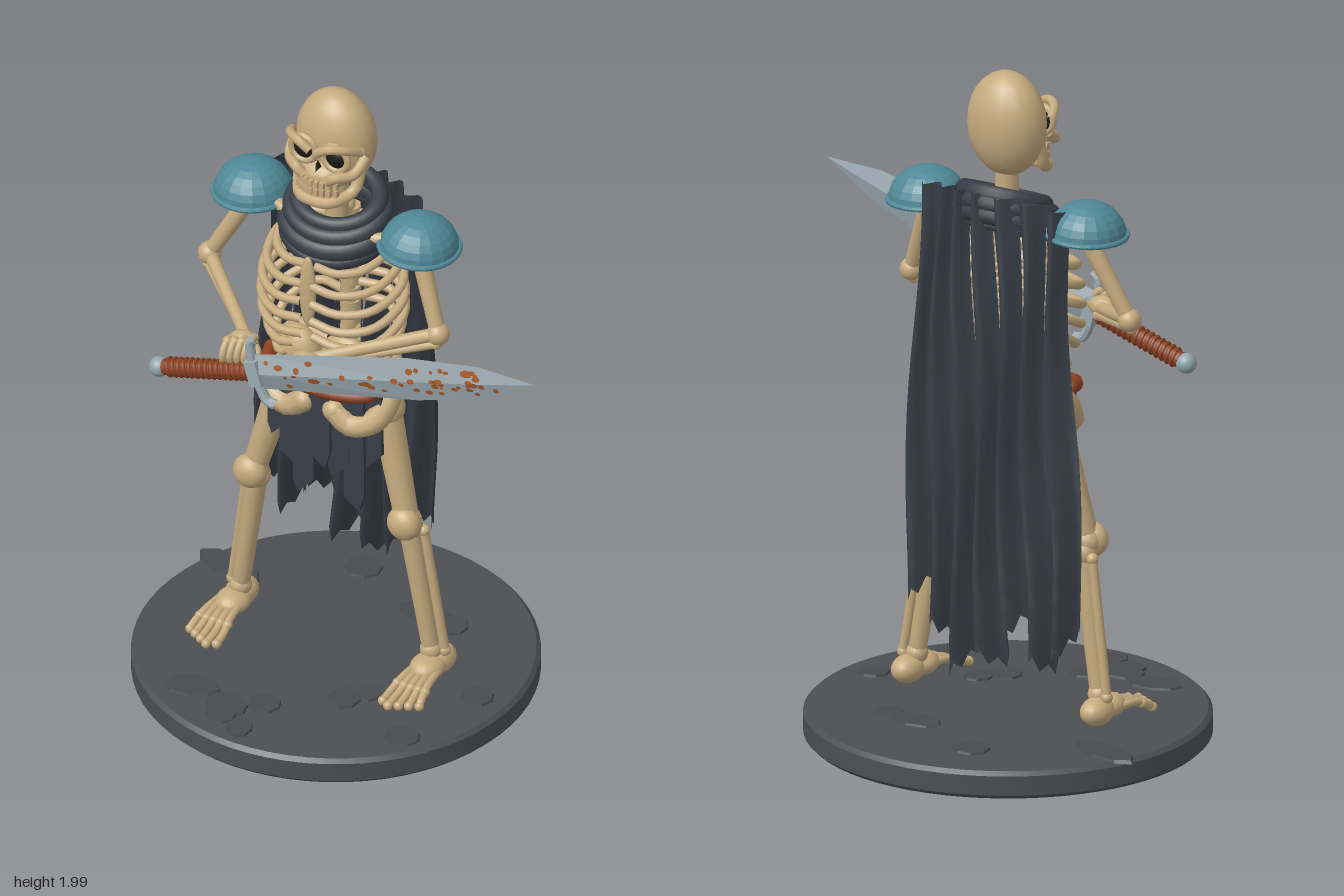
import * as THREE from 'three';
import { toCreasedNormals } from 'three/addons/utils/BufferGeometryUtils.js';

const mat = (color, opts = {}) => new THREE.MeshStandardMaterial({ color, ...opts });
const BONE = mat(0xc4aa7e), DARK = mat(0x1c1a18), STEEL = mat(0x9aa9b0, { flatShading: true });
const CLOTH = mat(0x383d46, { side: THREE.DoubleSide }), BLUE = mat(0x4f8896, { flatShading: true });
const LEATHER = mat(0x8c4122), RUST = mat(0xa3592a), STONE = mat(0x4c4f52);
const V = (x, y, z) => new THREE.Vector3(x, y, z);

export function createModel() {
  const root = new THREE.Group();
  const fig = new THREE.Group();
  fig.name = 'figure';
  fig.position.x = -0.14;
  root.add(fig);

  let seed = 7;
  const rand = () => (seed = (seed * 16807) % 2147483647) / 2147483647;

  const add = (name, geo, material, p = [0, 0, 0], parent = fig) => {
    const m = new THREE.Mesh(geo, material);
    m.name = name;
    m.position.set(...p);
    parent.add(m);
    return m;
  };
  const ball = (name, p, r, material = BONE, parent = fig) => {
    const m = add(name, new THREE.SphereGeometry(1, 20, 14), material, p, parent);
    Array.isArray(r) ? m.scale.set(...r) : m.scale.setScalar(r);
    return m;
  };
  const tube = (name, pts, r, material = BONE, parent = fig, seg = 20) =>
    add(name, new THREE.TubeGeometry(new THREE.CatmullRomCurve3(pts.map(p => V(...p))), seg, r, 8), material, [0, 0, 0], parent);
  // Shaft between two points with a knob at each end
  const bone = (name, a, b, r0, r1 = r0, knob = 1.25) => {
    const A = V(...a), B = V(...b), d = B.clone().sub(A);
    const m = add(name, new THREE.CylinderGeometry(r1, r0, d.length(), 12), BONE, A.clone().add(B).multiplyScalar(0.5).toArray());
    m.quaternion.setFromUnitVectors(V(0, 1, 0), d.normalize());
    ball(name + 'End', a, r0 * knob);
    ball(name + 'End', b, r1 * knob);
  };

  // Base disc with bevelled rims and inlaid flagstones
  const profile = [[0, 0.01], [0.57, 0.01], [0.582, 0.022], [0.582, 0.08], [0.57, 0.092], [0, 0.092]];
  add('base', toCreasedNormals(new THREE.LatheGeometry(profile.map(p => new THREE.Vector2(...p)), 64), 0.5), STONE);
  [[-0.13, -0.37, 0.06, 0.055], [0.14, -0.26, 0.09, 0.05], [0.24, -0.25, 0.045, 0.05], [-0.46, -0.18, 0.12, 0.05],
    [0.48, 0.02, 0.05, 0.05], [0.16, 0.22, 0.05, 0.055], [0.21, 0.16, 0.04, 0.05], [0.4, 0.3, 0.055, 0.05], [-0.24, 0.39, 0.085, 0.055],
    [-0.11, 0.42, 0.07, 0.055], [-0.02, 0.36, 0.05, 0.05], [-0.02, 0.5, 0.04, 0.05], [-0.1, 0.47, 0.05, 0.04]].forEach(([x, z, a, b], i) => {
    const s = add('flagstone', new THREE.CylinderGeometry(0.93, 1, 0.01, 8), mat(0x484b4e, { flatShading: true }), [x, 0.094, z]);
    s.scale.set(a, 1, b);
    s.rotation.y = (i % 3 - 1) * 0.25;
  });

  // Skull
  ball('cranium', [0, 1.845, -0.005], [0.123, 0.155, 0.095]);
  ball('upperJaw', [0, 1.765, 0.06], [0.08, 0.045, 0.06]);
  const nose = add('noseHole', new THREE.ConeGeometry(0.02, 0.04, 3), DARK, [0, 1.803, 0.1]);
  nose.scale.z = 0.7;
  tube('lowerJaw', [[-0.095, 1.79, 0.02], [-0.09, 1.72, 0.05], [-0.05, 1.7, 0.115], [0, 1.697, 0.125], [0.05, 1.7, 0.115],
    [0.09, 1.72, 0.05], [0.095, 1.79, 0.02]], 0.018);
  for (const s of [-1, 1]) {
    ball('eyeSocket', [s * 0.053, 1.84, 0.082], [0.036, 0.036, 0.022], DARK);
    add('eyeRim', new THREE.TorusGeometry(0.04, 0.011, 8, 20), BONE, [s * 0.053, 1.84, 0.09]);
    tube('brow', [[s * 0.115, 1.86, 0.05], [s * 0.09, 1.885, 0.1], [s * 0.05, 1.888, 0.125], [s * 0.012, 1.865, 0.125]], 0.014);
    tube('cheekbone', [[s * 0.118, 1.83, 0.03], [s * 0.105, 1.795, 0.08], [s * 0.065, 1.79, 0.115], [s * 0.04, 1.77, 0.115]], 0.016);
    for (let i = 0; i < 4; i++) for (const y of [1.755, 1.73]) {
      const x = 0.009 + i * 0.0175;
      add('tooth', new THREE.BoxGeometry(0.014, 0.022, 0.016), BONE, [s * x, y, 0.125 - x * x * 6]);
    }
  }

  // Spine, sternum and ribs
  add('neck', new THREE.CylinderGeometry(0.034, 0.036, 0.19, 14), BONE, [0, 1.63, -0.005]);
  for (let i = 0; i < 12; i++) {
    const y = 1.04 + i * 0.046;
    add('vertebra', new THREE.CylinderGeometry(0.03, 0.03, 0.034, 10), BONE, [0, y, -0.08]);
    ball('vertebraSpur', [0, y, -0.11], [0.01, 0.012, 0.022]);
  }
  bone('spineCore', [0, 1.0, -0.08], [0, 1.58, -0.06], 0.02);
  ball('sternum', [0, 1.4, 0.155], [0.026, 0.12, 0.016]);
  const ribs = [[1.5, 0.165, 0.14], [1.445, 0.195, 0.16], [1.39, 0.21, 0.165], [1.335, 0.215, 0.165],
    [1.28, 0.215, 0.155], [1.225, 0.205, 0.13], [1.17, 0.185, 0.1]];
  ribs.forEach(([y, w, z], i) => {
    const drop = 0.04 + i * 0.008, end = i < 5 ? 0.015 : 0.06 + (i - 5) * 0.04;
    for (const s of [-1, 1])
      tube('rib', [[s * 0.02, y + drop, -0.085], [s * w * 0.65, y + drop * 0.9, -0.1], [s * w, y + drop * 0.3, -0.02],
        [s * w * 0.88, y - drop * 0.4, z * 0.6], [s * (end + w) * 0.45, y - drop * 0.6, z * 0.95], [s * end, y - drop * 0.4, z]], 0.0135);
  });

  // Pelvis and belt
  ball('sacrum', [0, 1.03, -0.06], [0.09, 0.09, 0.04]);
  for (const s of [-1, 1]) {
    tube('hipBone', [[s * 0.07, 1.08, -0.07], [s * 0.15, 1.1, -0.05], [s * 0.19, 1.04, 0.01], [s * 0.17, 0.965, 0.07],
      [s * 0.105, 0.94, 0.09], [s * 0.05, 0.975, 0.09]], 0.036);
    ball('hipBlade', [s * 0.14, 1.05, -0.02], [0.075, 0.085, 0.05]);
    ball('hipBoneEnd', [s * 0.05, 0.975, 0.09], 0.036);
  }
  tube('belt', [[-0.19, 1.075, 0.04], [-0.165, 1.068, 0.1], [-0.08, 1.062, 0.13], [0, 1.06, 0.135], [0.08, 1.062, 0.13],
    [0.165, 1.068, 0.1], [0.19, 1.075, 0.04]], 0.022, LEATHER);
  for (const s of [-1, 1]) ball('beltEnd', [s * 0.19, 1.075, 0.04], 0.022, LEATHER);

  // Torn loincloth
  [[-0.155, 0.8], [-0.1, 0.74], [-0.055, 0.65], [0.005, 0.77], [0.06, 0.74], [0.11, 0.65], [0.155, 0.79]].forEach(([x, y], i) => {
    const w = 0.034, k = i % 2 ? 0.6 : -0.5;
    const shape = new THREE.Shape([[-w, 1.05], [w, 1.05], [w * 1.1, y + 0.06], [w * k, y], [-w * 0.9, y + 0.035]].reverse()
      .map(p => new THREE.Vector2(...p)));
    add('loinclothStrip', new THREE.ExtrudeGeometry(shape, { depth: 0.012, bevelEnabled: false }), CLOTH, [x, 0, 0.085 - x * x * 1.2 + (i % 2) * 0.008]);
  });

  // Legs and feet
  for (const s of [-1, 1]) {
    const hip = [s * 0.165, 0.97, 0], knee = [s * 0.253, 0.63, 0.03], ankle = [s * 0.322, 0.19, 0];
    bone('thighBone', hip, knee, 0.047, 0.036, 1.2);
    ball('kneecap', [s * 0.255, 0.63, 0.05], [0.052, 0.052, 0.04]);
    bone('shinBone', [s * 0.252, 0.6, 0.015], [s * 0.315, 0.19, 0], 0.032, 0.026);
    bone('calfBone', [s * 0.292, 0.59, 0.0], [s * 0.352, 0.19, -0.015], 0.014);
    ball('heel', [ankle[0] + s * 0.005, 0.148, -0.025], [0.045, 0.042, 0.06]);
    ball('instep', [ankle[0], 0.15, 0.03], [0.05, 0.035, 0.06]);
    for (let i = 0; i < 5; i++) {
      const k = i - 2, x = ankle[0] + s * 0.005, end = 0.215 - Math.abs(i - 1) * 0.014;
      tube('toe', [[x + s * k * 0.017, 0.15, 0.04], [x + s * k * 0.021, 0.145, 0.11], [x + s * k * 0.025, 0.125, 0.16], [x + s * k * 0.026, 0.115, end]], 0.012);
      ball('toeKnuckle', [x + s * k * 0.023, 0.137, 0.13], 0.0145);
      ball('toeTip', [x + s * k * 0.026, 0.115, end], 0.014);
    }
  }

  // Arms, fists and shoulder armour
  for (const [s, elbow, hand] of [[-1, [-0.4, 1.32, 0.03], [-0.145, 1.245, 0.25]], [1, [0.365, 1.32, 0.045], [0.06, 1.245, 0.25]]]) {
    const shoulder = [s * 0.275, 1.55, 0];
    bone('collarBone', [s * 0.03, 1.555, 0.07], [s * 0.25, 1.58, 0.01], 0.018);
    bone('upperArm', shoulder, elbow, 0.027, 0.023);
    ball('elbow', elbow, 0.034);
    bone('forearm', elbow, hand, 0.02, 0.018);
    bone('forearmThin', [elbow[0], elbow[1] - 0.03, elbow[2] + 0.01], [hand[0], hand[1] - 0.02, hand[2] - 0.01], 0.013);
    ball('palm', [hand[0], hand[1], hand[2] + 0.015], [0.045, 0.032, 0.032]);
    for (let i = 0; i < 4; i++) {
      const x = hand[0] - 0.036 + i * 0.024, y = hand[1] - 0.018 + i * 0.007;
      tube('finger', [[x, y + 0.02, 0.26], [x, y + 0.024, 0.3], [x, y - 0.01, 0.325], [x, y - 0.045, 0.315]], 0.011, BONE, fig, 10);
      ball('knuckle', [x, y + 0.024, 0.298], 0.0145);
    }
    tube('thumb', [[hand[0] - s * 0.03, hand[1], 0.26], [hand[0] - s * 0.055, hand[1] - 0.01, 0.285], [hand[0] - s * 0.045, hand[1] - 0.035, 0.31]], 0.012);

    const pad = new THREE.Group();
    pad.name = 'shoulderArmour';
    pad.position.set(s * 0.275, 1.565, -0.003);
    pad.rotation.z = -s * 0.04;
    fig.add(pad);
    const domeMat = mat(0x4f8896, { flatShading: true, side: THREE.DoubleSide });
    add('dome', new THREE.SphereGeometry(0.114, 18, 7, 0, Math.PI * 2, 0, Math.PI / 2), domeMat, [0, 0, 0], pad).scale.y = 0.85;
    const rim = add('rim', new THREE.TorusGeometry(0.115, 0.008, 8, 28), BLUE, [0, 0, 0], pad);
    rim.rotation.x = Math.PI / 2;
  }

  // Rolled collar, tilted down at the front
  [[0.145, 0.034, 1.565, -0.005], [0.138, 0.03, 1.6, -0.012], [0.122, 0.027, 1.628, -0.018], [0.15, 0.022, 1.535, 0]].forEach(([R, r, y, z]) => {
    const ring = add('collarRoll', new THREE.TorusGeometry(R, r, 10, 36), CLOTH, [0, y, z]);
    ring.scale.y = 0.85;
    ring.rotation.x = Math.PI / 2 + 0.36;
  });

  // Cape: folded strips hanging from the shoulders and drifting to one side
  const ends = [0.36, 0.3, 0.39, 0.28, 0.25, 0.33, 0.43];
  const capePoint = (s, y) => {
    const h = (1.64 - y) / 1.4, L = -0.25 - 0.18 * h, R = 0.26 - 0.05 * h * h;
    const sway = 0.012 * Math.sin(y * 6 + s * 9), edge = (2 * s - 1) ** 2;
    const z = -0.135 - 0.1 * h + 0.06 * edge * (1 - h) - 0.07 * h * (0.5 - s);
    return [L + (R - L) * s + sway, y + 0.03 * (1 - edge) * (1 - h), z + (0.02 + 0.026 * h) * Math.sin(s * Math.PI * 14 + y)];
  };
  ends.forEach((end, i) => {
    const g = new THREE.PlaneGeometry(1, 1, 8, 28), p = g.attributes.position;
    for (let k = 0; k < p.count; k++) {
      const u = p.getX(k) + 0.5, t = 0.5 - p.getY(k);
      const slit = 0.07 * Math.sin(Math.min(1, t * 1.6) * Math.PI) + 0.1 * Math.max(0, t - 0.7);
      const s = (i + 0.5 + (u - 0.5) * (1 - 2 * slit)) / ends.length;
      const rag = 0.12 * Math.abs(u - (i % 2 ? 0.3 : 0.7)) + 0.03 * (k % 2);
      p.setXYZ(k, ...capePoint(s, 1.64 - t * (1.64 - end - rag)));
    }
    g.computeVertexNormals();
    add('capeStrip', g, CLOTH);
  });

  // Sword, lying along its own x axis
  const sword = new THREE.Group();
  sword.name = 'sword';
  sword.position.set(-0.06, 1.205, 0.325);
  sword.rotation.z = 0.293;
  fig.add(sword);
  const stations = [[0, 0.056, 0.02], [0.53, 0.069, 0.017], [0.77, 0.051, 0.013], [0.955, 0, 0]];
  const pos = [], idx = [];
  stations.forEach(([u, w, t]) => pos.push(u, w, 0, u, 0, t, u, -w, 0, u, 0, -t));
  for (let j = 0; j < 3; j++) for (let i = 0; i < 4; i++) {
    const a = j * 4 + i, b = j * 4 + (i + 1) % 4;
    idx.push(a, b, b + 4, a, b + 4, a + 4);
  }
  const blade = new THREE.BufferGeometry();
  blade.setAttribute('position', new THREE.Float32BufferAttribute(pos, 3));
  blade.setIndex(idx);
  blade.computeVertexNormals();
  add('blade', blade, STEEL, [0, 0, 0], sword);
  // Rust flecks on the front faces of the blade
  for (let i = 0; i < 48; i++) {
    const u = 0.04 + 0.78 * rand(), v = (rand() - 0.5) * 0.08;
    const j = u < 0.53 ? 0 : u < 0.77 ? 1 : 2, [a, b] = [stations[j], stations[j + 1]], f = (u - a[0]) / (b[0] - a[0]);
    const w = a[1] + (b[1] - a[1]) * f, t = a[2] + (b[2] - a[2]) * f;
    if (Math.abs(v) > w * 0.75) continue;
    const spot = add('rustFleck', new THREE.CircleGeometry(0.005 + 0.006 * rand(), 7), RUST, [u, v, t * (1 - Math.abs(v) / w) + 0.002], sword);
    spot.rotation.x = -Math.sign(v) * Math.atan(t / w);
    spot.scale.x = 1 + rand();
  }
  tube('crossguard', [[0.025, 0.108, 0], [0.0, 0.095, 0], [-0.012, 0.04, 0], [-0.012, -0.04, 0], [0, -0.095, 0], [0.025, -0.108, 0]], 0.015, STEEL, sword);
  add('guardBlock', new THREE.BoxGeometry(0.04, 0.08, 0.05), STEEL, [-0.008, 0, 0], sword);
  add('grip', new THREE.CylinderGeometry(0.024, 0.024, 0.3, 14), LEATHER, [-0.175, 0, 0], sword).rotation.z = Math.PI / 2;
  for (let i = 0; i < 15; i++)
    add('gripWrap', new THREE.TorusGeometry(0.024, 0.007, 6, 16), LEATHER, [-0.04 - i * 0.019, 0, 0], sword).rotation.y = Math.PI / 2 + 0.15;
  ball('pommel', [-0.345, 0, 0], 0.03, mat(0x8fa6ab), sword);
  return root;
}
